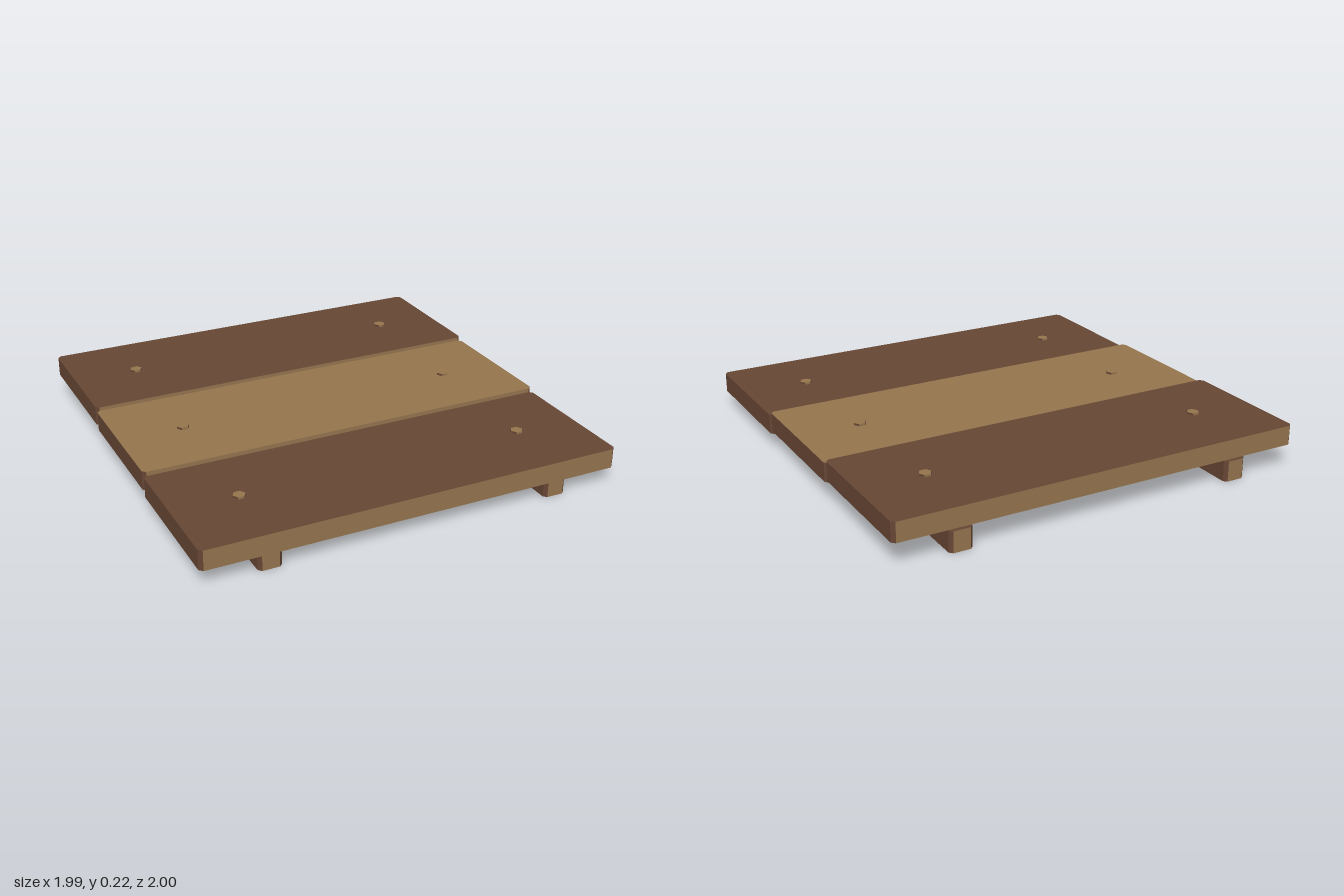
import * as THREE from 'three';

// Upright prism from a plan outline; end grain (facing z) is light, the top is chosen, the rest is dark
function prism(name, outline, y0, y1, x, z, topMat, light, dark) {
  const shape = new THREE.Shape(outline.map(([a, b]) => new THREE.Vector2(a, b)));
  const geo = new THREE.ExtrudeGeometry(shape, { depth: y1 - y0, bevelEnabled: false });
  geo.rotateX(-Math.PI / 2);
  geo.clearGroups();
  const n = geo.attributes.normal;
  for (let i = 0; i < n.count; i += 3) {
    const slot = n.getY(i) > 0.9 ? 0 : Math.abs(n.getZ(i)) > 0.9 ? 1 : 2;
    geo.addGroup(i, 3, slot);
  }
  const mesh = new THREE.Mesh(geo, [topMat, light, dark]);
  mesh.name = name;
  mesh.position.set(x, y0, z);
  return mesh;
}

// Rectangle with clipped corners, half sizes w and d
function clipped(w, d, c) {
  return [[w - c, -d], [w, -d + c], [w, d - c], [w - c, d],
    [-w + c, d], [-w, d - c], [-w, -d + c], [-w + c, -d]];
}

export function createModel() {
  const group = new THREE.Group();
  group.name = 'woodenPlatform';
  const dark = new THREE.MeshStandardMaterial({ color: 0x664634 });
  dark.name = 'dark wood';
  const light = new THREE.MeshStandardMaterial({ color: 0x94744d });
  light.name = 'light wood';

  // Three planks stepping up towards the back, each with two hexagonal pegs
  const planks = [
    { name: 'front', z: 0.665, y0: 0.075, y1: 0.168, top: dark },
    { name: 'middle', z: 0.0, y0: 0.097, y1: 0.188, top: light },
    { name: 'back', z: -0.665, y0: 0.113, y1: 0.205, top: dark },
  ];
  const hexagon = Array.from({ length: 6 }, (_, i) => {
    const a = i * Math.PI / 3;
    return [0.029 * Math.cos(a), 0.029 * Math.sin(a)];
  });
  for (const p of planks) {
    group.add(prism(p.name + 'Plank', clipped(0.993, 0.333, 0.016), p.y0, p.y1, 0, p.z, p.top, light, dark));
    for (const side of [1, -1]) {
      group.add(prism(p.name + (side > 0 ? 'LeftPeg' : 'RightPeg'), hexagon,
        p.y1 - 0.02, p.y1 + 0.01, side * 0.686, p.z, light, light, dark));
    }
  }

  // Two rails running front to back underneath
  for (const side of [1, -1]) {
    group.add(prism(side > 0 ? 'leftRail' : 'rightRail', clipped(0.054, 0.99, 0.015),
      0, 0.097, side * 0.686, 0, dark, light, dark));
  }
  return group;
}
